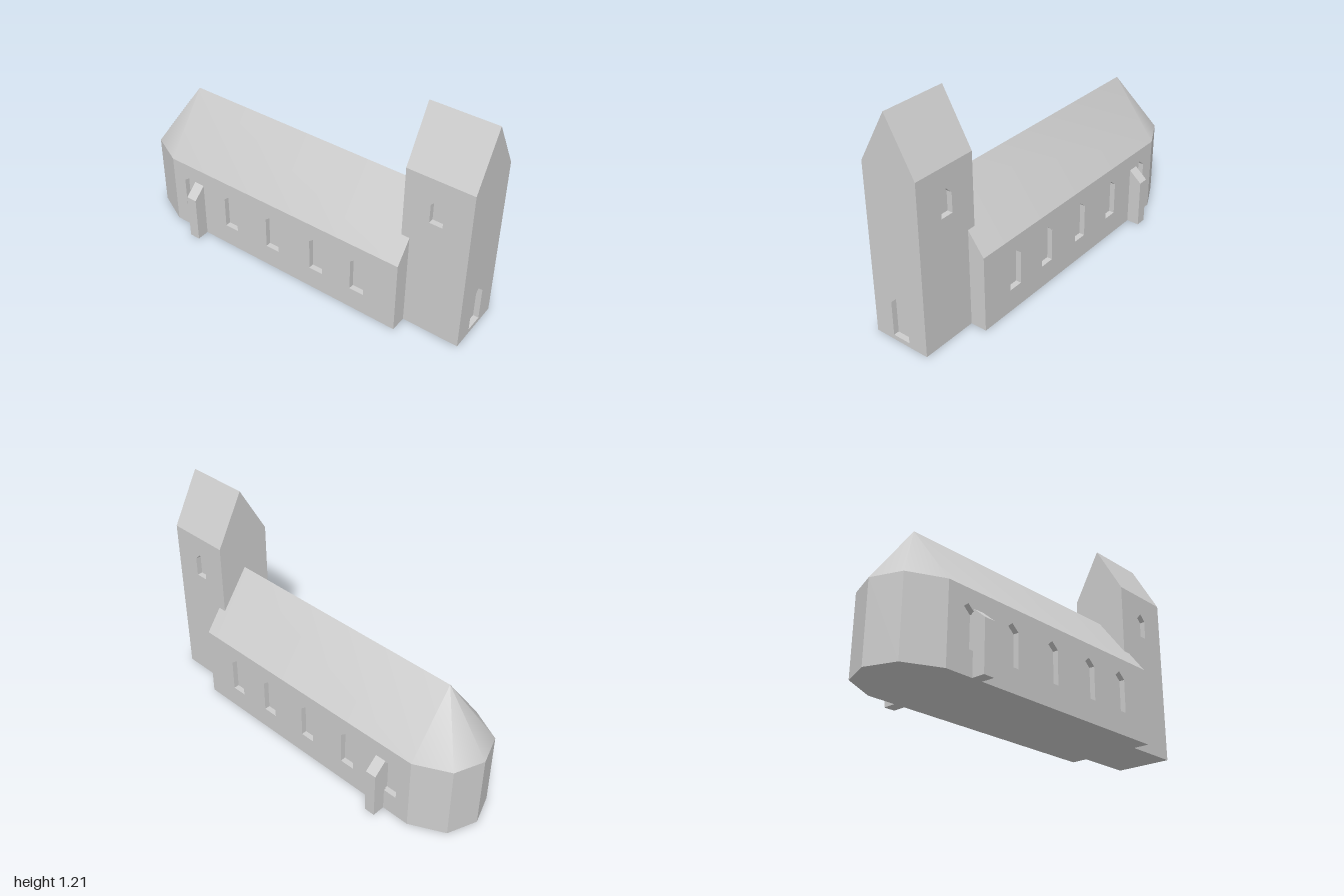
import * as THREE from 'three';
import { toCreasedNormals } from 'three/addons/utils/BufferGeometryUtils.js';

const RECESS = 0.03; // depth of windows and door
const EAVE = 0.415, RIDGE = 0.745, HALF = 0.25;
const TOWER_EAVE = 0.925, TOWER_TOP = 1.205, TOWER_HALF = 0.16;
const NAVE_END = 0.69, APSE_START = -0.76, TOWER_WEST = 0.645;

const stone = new THREE.MeshStandardMaterial({ color: 0xcccccc });
stone.name = 'paleStone';

const polygon = (points) => new THREE.Shape(points.map(([x, y]) => new THREE.Vector2(x, y)));
const extrude = (shape, depth) => new THREE.ExtrudeGeometry(shape, { depth, bevelEnabled: false });

// Opening with a pointed head
const opening = (cx, halfWidth, bottom, shoulder, top) => polygon([
  [cx - halfWidth, bottom], [cx + halfWidth, bottom], [cx + halfWidth, shoulder],
  [cx, top], [cx - halfWidth, shoulder],
]);

// Slab in the x-y plane pierced by openings
function wall(points, holes) {
  const shape = polygon(points);
  shape.holes.push(...holes);
  return extrude(shape, RECESS);
}

const rectangle = (x0, x1, y1) => [[x0, 0], [x1, 0], [x1, y1], [x0, y1]];

// Pitched roof whose end folds down over the polygonal apse
function roofGeometry() {
  const eaves = [
    [NAVE_END, HALF], [APSE_START, HALF], [-0.94, 0.16], [-1, 0],
    [-0.94, -0.16], [APSE_START, -HALF], [NAVE_END, -HALF],
  ].map(([x, z]) => [x, EAVE, z]);
  const east = [NAVE_END, RIDGE, 0], west = [APSE_START, RIDGE, 0];
  const faces = [
    [eaves[0], east, west], [eaves[0], west, eaves[1]],
    [eaves[5], west, east], [eaves[5], east, eaves[6]],
    [eaves[0], eaves[6], east], // gable
  ];
  for (let i = 1; i < 5; i++) faces.push([eaves[i], west, eaves[i + 1]]);
  const geometry = new THREE.BufferGeometry();
  geometry.setAttribute('position', new THREE.Float32BufferAttribute(faces.flat(2), 3));
  return toCreasedNormals(geometry, 0.8);
}

export function createModel() {
  const model = new THREE.Group();
  model.name = 'church';

  function add(parent, name, geometry, x = 0, y = 0, z = 0) {
    const mesh = new THREE.Mesh(geometry, stone);
    mesh.name = name;
    mesh.position.set(x, y, z);
    parent.add(mesh);
    return mesh;
  }

  const nave = new THREE.Group();
  nave.name = 'nave';
  const tower = new THREE.Group();
  tower.name = 'tower';
  model.add(nave, tower);

  // Nave body and apse; the body is set in behind the pierced walls
  const inner = HALF - RECESS;
  const half = [[NAVE_END, inner], [APSE_START, inner], [APSE_START, HALF], [-0.94, 0.16]];
  const mirrored = half.map(([x, z]) => [x, -z]).reverse();
  const body = extrude(polygon([...half, [-1, 0], ...mirrored]), EAVE).rotateX(-Math.PI / 2);
  add(nave, 'naveBodyAndApse', body);
  add(nave, 'naveRoof', roofGeometry());

  // Long walls with five windows each
  const windows = [-0.64, -0.355, -0.073, 0.21, 0.462]
    .map((x) => opening(x, 0.041, 0.125, 0.305, 0.34));
  const longWall = wall(rectangle(APSE_START, NAVE_END, EAVE), windows);
  add(nave, 'frontNaveWall', longWall, 0, 0, inner);
  add(nave, 'backNaveWall', longWall, 0, 0, -HALF);

  // Buttresses with sloping tops
  for (const side of [1, -1]) {
    const profile = polygon([
      [-side * 0.24, 0], [-side * 0.32, 0], [-side * 0.32, 0.265],
      [-side * 0.25, 0.325], [-side * 0.24, 0.325],
    ]);
    add(nave, side > 0 ? 'frontButtress' : 'backButtress',
      extrude(profile, 0.06).rotateY(Math.PI / 2), -0.605);
  }

  // Tower body, set in behind its walls
  const towerLength = 1 - RECESS - TOWER_WEST;
  const towerInner = TOWER_HALF - RECESS;
  add(tower, 'towerBody', new THREE.BoxGeometry(towerLength, TOWER_EAVE, 2 * towerInner),
    TOWER_WEST + towerLength / 2, TOWER_EAVE / 2, 0);

  // Tower side walls with a small window each
  const towerSide = wall(rectangle(TOWER_WEST, 1 - RECESS, TOWER_EAVE),
    [opening(0.82, 0.035, 0.675, 0.78, 0.815)]);
  add(tower, 'frontTowerWall', towerSide, 0, 0, towerInner);
  add(tower, 'backTowerWall', towerSide, 0, 0, -TOWER_HALF);

  // Gabled entrance wall with the door
  const entrance = wall([
    [-TOWER_HALF, 0], [TOWER_HALF, 0], [TOWER_HALF, TOWER_EAVE],
    [0, TOWER_TOP], [-TOWER_HALF, TOWER_EAVE],
  ], [opening(0, 0.05, 0.025, 0.215, 0.265)]);
  add(tower, 'entranceWall', entrance.rotateY(Math.PI / 2), 1 - RECESS);

  // Saddleback tower roof
  const gable = polygon([[-TOWER_HALF, TOWER_EAVE], [TOWER_HALF, TOWER_EAVE], [0, TOWER_TOP]]);
  add(tower, 'towerRoof', extrude(gable, towerLength).rotateY(Math.PI / 2), TOWER_WEST);

  return model;
}
